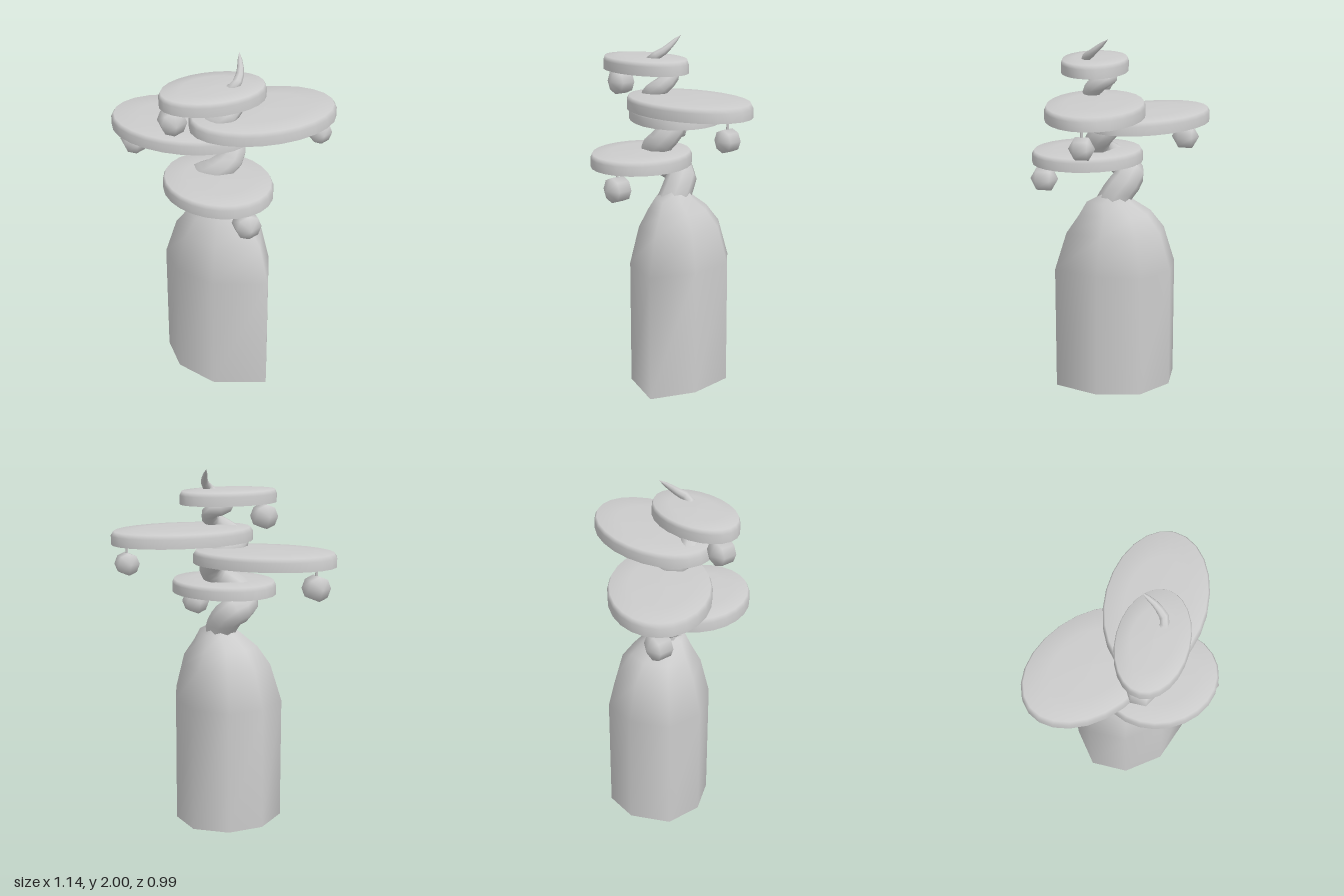
import * as THREE from 'three';

const mat = new THREE.MeshStandardMaterial({ color: 0xcccccc, side: THREE.DoubleSide });

function add(parent, name, geometry) {
  const mesh = new THREE.Mesh(geometry, mat);
  mesh.name = name;
  parent.add(mesh);
  return mesh;
}

// Uneven eight-sided trunk, open below, lofted up to a narrow neck
function trunkGeometry() {
  const outline = [[0.115, 0.33], [-0.175, 0.225], [-0.322, 0.035], [-0.322, -0.18],
    [-0.14, -0.32], [0.06, -0.315], [0.212, -0.165], [0.215, 0.08]];
  const baseY = [0, 0, 0.022, 0.028, 0.028, 0.025, 0.015, 0];
  // height, scale, centre x, centre z
  const rings = [[0, 1, -0.05, 0], [0.71, 1, -0.05, 0], [0.92, 0.81, -0.045, 0],
    [1.02, 0.59, -0.045, 0.005], [1.09, 0.38, -0.03, 0.035], [1.14, 0.18, -0.02, 0.0]];
  const n = outline.length, pos = [], index = [];
  rings.forEach(([y, s, cx, cz], i) => {
    outline.forEach(([x, z], j) =>
      pos.push(cx + (x + 0.05) * s, i ? y : baseY[j], cz + z * s));
    if (!i) return;
    for (let j = 0; j < n; j++) {
      const k = (j + 1) % n, lo = (i - 1) * n, hi = i * n;
      index.push(lo + j, hi + j, lo + k, hi + j, hi + k, lo + k);
    }
  });
  const g = new THREE.BufferGeometry();
  g.setAttribute('position', new THREE.Float32BufferAttribute(pos, 3));
  g.setIndex(index);
  g.computeVertexNormals();
  return g;
}

// Winding stem that tapers to a pointed tip
function stemGeometry() {
  const path = new THREE.CatmullRomCurve3([
    [-0.03, 1.05, 0.04], [-0.03, 1.14, -0.01], [-0.06, 1.215, -0.065], [-0.14, 1.245, -0.05],
    [-0.17, 1.3, 0.03], [-0.11, 1.36, 0.1], [-0.03, 1.42, 0.11], [0.005, 1.49, 0.06],
    [-0.05, 1.55, -0.01], [-0.13, 1.58, 0.0], [-0.14, 1.63, 0.08], [-0.08, 1.68, 0.14],
    [-0.02, 1.72, 0.13], [0.0, 1.77, 0.07], [-0.06, 1.79, 0.03], [-0.1, 1.81, 0.1],
    [-0.035, 1.875, 0.175], [0.015, 1.92, 0.13], [0.045, 2.0, 0.035],
  ].map((p) => new THREE.Vector3(...p)));
  const steps = 40, sides = 8;
  const g = new THREE.TubeGeometry(path, steps, 1, sides, false);
  const p = g.attributes.position, v = new THREE.Vector3();
  for (let i = 0; i <= steps; i++) {
    const centre = path.getPointAt(i / steps);
    const radius = 0.09 * Math.pow(1 - i / steps, 0.55);
    for (let j = 0; j <= sides; j++) {
      const k = i * (sides + 1) + j;
      v.fromBufferAttribute(p, k).sub(centre).multiplyScalar(radius).add(centre);
      p.setXYZ(k, v.x, v.y, v.z);
    }
  }
  return g;
}

// Hollow oval canopy with a bevelled rim, open underneath
const canopyGeometry = new THREE.LatheGeometry(
  [[1, 0], [1, 0.05], [0.962, 0.073], [0.6, 0.081], [0, 0.084]]
    .map(([x, y]) => new THREE.Vector2(x, y)), 24);

// Faceted fruit: eight sides around a front-to-back axis
const fruitGeometry = new THREE.SphereGeometry(0.08, 8, 3);
fruitGeometry.rotateX(Math.PI / 2);

export function createModel() {
  const model = new THREE.Group();
  add(model, 'trunk', trunkGeometry());
  add(model, 'stem', stemGeometry());

  // Canopy centre, half widths and turn, with the hanging fruit's centre and scale
  const tiers = [
    { at: [-0.123, 1.287, 0.178], size: [0.317, 0.272], turn: 65, fruit: [-0.045, 1.195, 0.415], scale: 1 },
    { at: [-0.215, 1.493, -0.165], size: [0.4, 0.273], turn: 39, fruit: [-0.438, 1.375, -0.35], scale: 1 },
    { at: [0.163, 1.605, 0.088], size: [0.407, 0.267], turn: 0, fruit: [0.482, 1.5, 0.11], scale: 0.88 },
    { at: [-0.133, 1.8, 0.135], size: [0.286, 0.185], turn: 0, fruit: [-0.352, 1.715, 0.13], scale: 1 },
  ];
  for (const { at, size, turn, fruit, scale } of tiers) {
    const tier = new THREE.Group();
    tier.name = 'canopyTier';
    model.add(tier);

    const canopy = add(tier, 'canopy', canopyGeometry);
    canopy.position.set(...at);
    canopy.scale.set(size[0], 1, size[1]);
    canopy.rotation.y = -THREE.MathUtils.degToRad(turn);

    const ball = add(tier, 'fruit', fruitGeometry);
    ball.position.set(...fruit);
    ball.scale.setScalar(scale);

    // Thin stalk from the fruit up to the canopy's underside
    const length = at[1] + 0.07 - fruit[1];
    const stalk = add(tier, 'stalk', new THREE.CylinderGeometry(0.007, 0.007, length, 6));
    stalk.position.set(fruit[0], fruit[1] + length / 2, fruit[2]);
  }
  return model;
}
